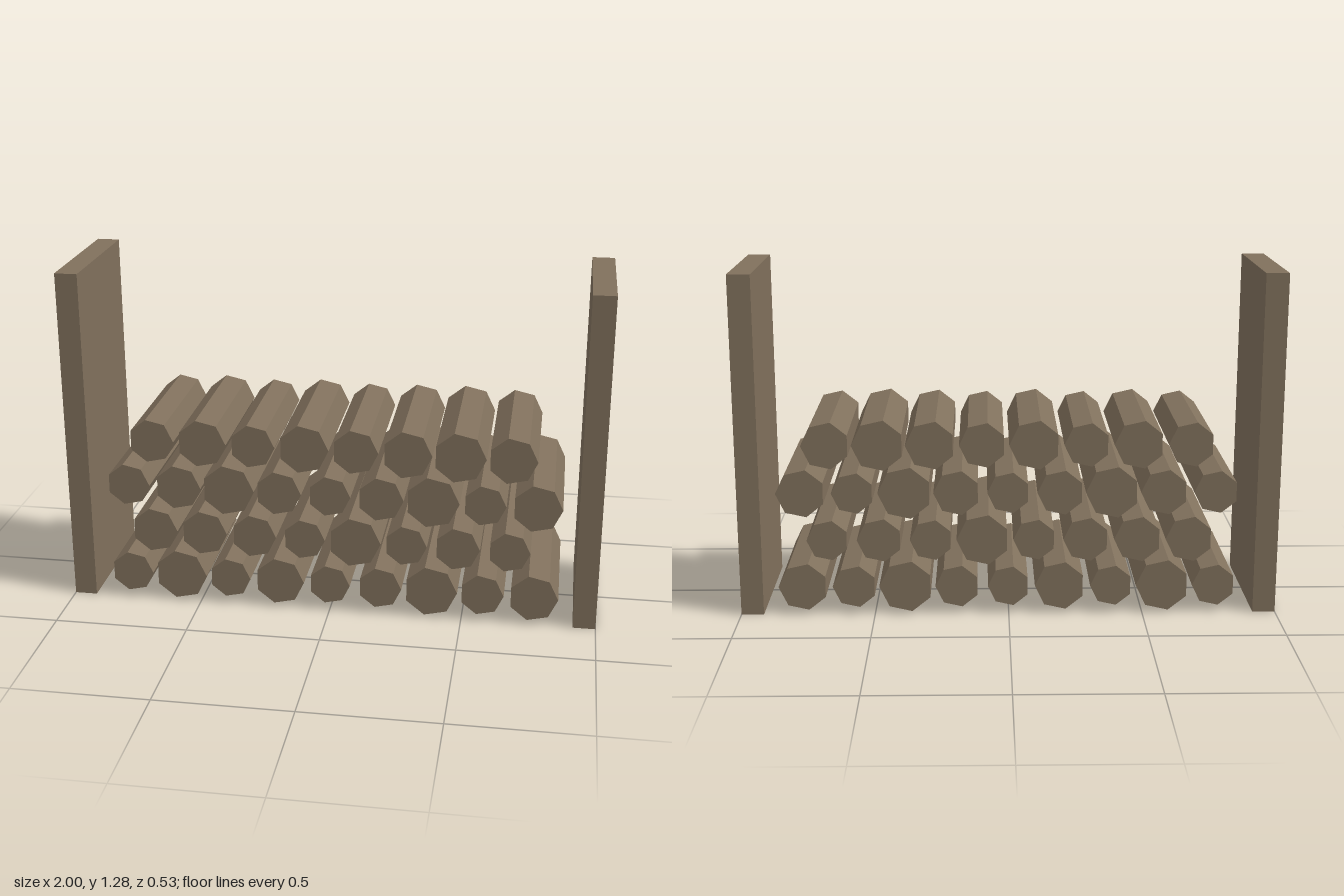
import * as THREE from 'three';

export function createModel() {
  const model = new THREE.Group();
  model.name = 'firewoodRack';

  const wood = new THREE.MeshStandardMaterial({ color: 0x80705c });
  wood.name = 'weathered wood';

  const depth = 0.53;
  const wallHeight = 1.28;
  const wallThickness = 0.084;

  // upright boards at both ends
  for (const [side, name] of [[1, 'leftBoard'], [-1, 'rightBoard']]) {
    const board = new THREE.Mesh(new THREE.BoxGeometry(wallThickness, wallHeight, depth), wood);
    board.name = name;
    board.position.set(side * (1 - wallThickness / 2), wallHeight / 2, 0);
    model.add(board);
  }

  // log radii, bottom row first, from -x to +x
  const rows = [
    [0.081, 0.1, 0.079, 0.094, 0.078, 0.082, 0.1, 0.082, 0.092],
    [0.088, 0.088, 0.085, 0.079, 0.098, 0.079, 0.084, 0.078],
    [0.082, 0.087, 0.099, 0.086, 0.079, 0.086, 0.1, 0.079, 0.092],
    [0.085, 0.092, 0.084, 0.094, 0.086, 0.092, 0.097, 0.09],
  ];
  const spacing = 0.1915;

  // heptagonal log lying along z, one corner pointing to +x
  const logGeometry = new THREE.CylinderGeometry(1, 1, depth, 7).toNonIndexed();
  logGeometry.rotateX(Math.PI / 2).rotateZ(Math.PI / 2);
  logGeometry.computeVertexNormals();

  // staggered stack of logs
  const stack = new THREE.Group();
  stack.name = 'logStack';
  rows.forEach((radii, row) => {
    radii.forEach((radius, i) => {
      const log = new THREE.Mesh(logGeometry, wood);
      log.name = `log${row + 1}_${i + 1}`;
      log.scale.set(radius, radius, 1);
      log.position.set((i - (radii.length - 1) / 2) * spacing, 0.108 + row * 0.181, 0);
      stack.add(log);
    });
  });
  model.add(stack);

  return model;
}
